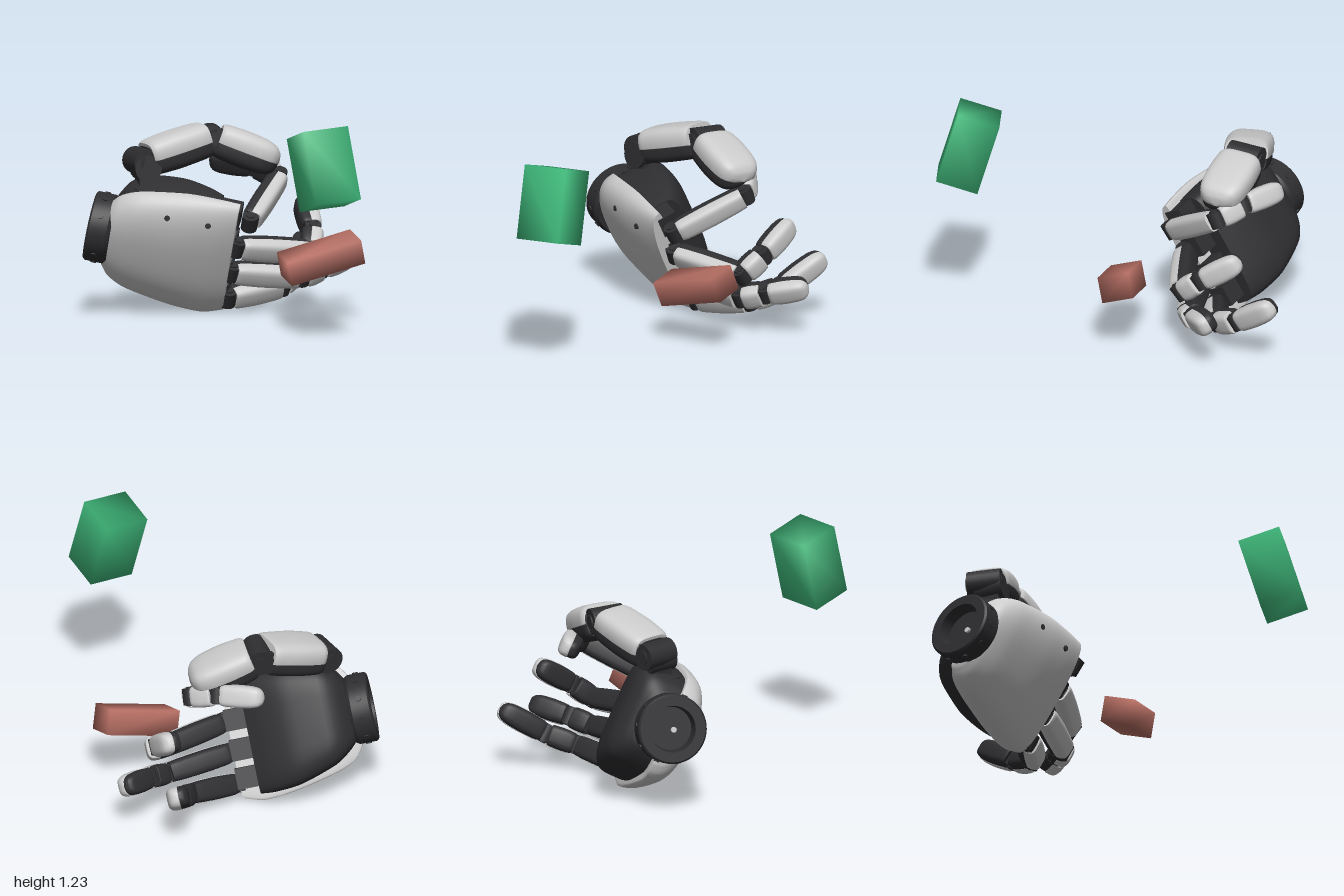
import * as THREE from 'three';
import { mergeVertices, toCreasedNormals } from 'three/addons/utils/BufferGeometryUtils.js';

const V = (x, y, z) => new THREE.Vector3(x, y, z);
const light = new THREE.MeshStandardMaterial({ color: 0xcccccc });
const dark = new THREE.MeshStandardMaterial({ color: 0x2e2e31 });
const green = new THREE.MeshStandardMaterial({ color: 0x3fb97b });
const red = new THREE.MeshStandardMaterial({ color: 0xb87065 });

function add(parent, name, geometry, material, pos = [0, 0, 0], rot = [0, 0, 0]) {
  const mesh = new THREE.Mesh(geometry, material);
  mesh.name = name;
  mesh.position.set(...pos);
  mesh.rotation.set(...rot);
  parent.add(mesh);
  return mesh;
}

// Group at a point: local x along dir, local z to the back of the hand, local y across
function frame(parent, name, origin, dir, across) {
  const x = dir.clone().normalize();
  const z = x.clone().cross(across).normalize();
  const y = z.clone().cross(x);
  const group = new THREE.Group();
  group.name = name;
  group.quaternion.setFromRotationMatrix(new THREE.Matrix4().makeBasis(x, y, z));
  group.position.copy(origin);
  parent.add(group);
  return group;
}

// Rounded-box sections [x, yCentre, zCentre, yRadius, zRadius] joined along x;
// under scales the z < 0 half, so a small value gives a shell
function loft(sections, { power = 0.55, under = 1, sides = 32 } = {}) {
  const steps = 4;
  const centres = new THREE.CatmullRomCurve3(sections.map(s => V(s[0], s[1], s[2])), false, 'catmullrom', 0.4);
  const radii = new THREE.CatmullRomCurve3(sections.map(s => V(s[3], s[4], 0)), false, 'catmullrom', 0.4);
  const n = (sections.length - 1) * steps;
  const pos = [], index = [];
  const bend = v => Math.sign(v) * Math.abs(v) ** power;
  for (let i = 0; i <= n; i++) {
    const c = centres.getPoint(i / n), r = radii.getPoint(i / n);
    for (let j = 0; j < sides; j++) {
      const a = (j / sides) * Math.PI * 2;
      const s = bend(Math.sin(a));
      pos.push(c.x, c.y + r.x * bend(Math.cos(a)), c.z + r.y * s * (s < 0 ? under : 1));
    }
  }
  const first = sections[0], last = sections[sections.length - 1];
  const c0 = pos.length / 3;
  pos.push(first[0], first[1], first[2], last[0], last[1], last[2]);
  for (let j = 0; j < sides; j++) {
    const k = (j + 1) % sides;
    for (let i = 0; i < n; i++) {
      const a = i * sides, b = a + sides;
      index.push(a + j, a + k, b + j, a + k, b + k, b + j);
    }
    index.push(c0, k, j, c0 + 1, n * sides + j, n * sides + k);
  }
  const geometry = new THREE.BufferGeometry();
  geometry.setAttribute('position', new THREE.Float32BufferAttribute(pos, 3));
  geometry.setIndex(index);
  return toCreasedNormals(geometry, 0.75);
}

// Finger link: hinge, dark core and light back cover
function link(parent, name, a, b, across, w, t, tip) {
  const dir = b.clone().sub(a), L = dir.length();
  const g = frame(parent, name, a, dir, across);
  add(g, 'hinge', new THREE.CylinderGeometry(t * 0.75, t * 0.75, w * 1.4, 24), dark);
  for (const s of [-1, 1]) {
    add(g, 'hingeCap', new THREE.CylinderGeometry(t * 0.4, t * 0.4, 0.012, 16), dark, [0, s * w * 0.72, 0]);
  }
  add(g, 'hingeNeck', new THREE.BoxGeometry(L * 0.3, w * 1.1, t * 1.2), dark, [L * 0.12, 0, 0]);
  const from = Math.min(t * 0.4, L * 0.12);
  const end = tip
    ? [[L * 0.74, 0.95], [L * 0.89, 0.8], [L * 0.97, 0.5], [L, 0.08]]
    : [[L * 0.8, 0.96], [L - t * 0.4, 0.9]];
  const rows = [[from, 0.84], [from + L * 0.07, 0.94], [L * 0.45, 1], ...end];
  add(g, 'core', loft(rows.map(([x, k]) => [x, 0, -t * 0.08, w * k * 0.95, t * k * 0.92])), dark);
  add(g, 'backCover', loft(rows.map(([x, k]) => [x + 0.004, 0, 0, w * k, t * k * 1.06]), { under: 0.12 }), light);
  // clevis reaching to the next hinge
  if (!tip) {
    for (const s of [-1, 1]) {
      add(g, 'clevis', new THREE.BoxGeometry(t * 1.2, w * 0.25, t * 1.1), dark, [L - t * 0.4, s * w * 0.6, 0]);
    }
  }
}

function chain(parent, name, points, across, w, t) {
  const g = new THREE.Group();
  g.name = name;
  parent.add(g);
  const p = points.map(q => V(...q));
  for (let i = 0; i + 1 < p.length; i++) {
    link(g, name + 'Link' + (i + 1), p[i], p[i + 1], across, w, t, i + 2 === p.length);
  }
}

// Block from its three edge vectors, softly shaded
function block(parent, name, centre, x, y, z, material) {
  const geometry = new THREE.BoxGeometry(x.length(), y.length(), z.length());
  geometry.deleteAttribute('normal');
  geometry.deleteAttribute('uv');
  const smooth = mergeVertices(geometry);
  smooth.computeVertexNormals();
  const g = frame(parent, name + 'Pose', centre, x, y);
  add(g, name, smooth, material);
}

export function createModel() {
  const model = new THREE.Group();
  model.name = 'robotHandWithBlocks';

  const across = V(0.32, 0.87, 0.37);
  const hand = frame(model, 'hand', V(-0.87, 0.485, 0.09), V(0.93, -0.2, -0.3), across);

  // Wrist ring with bolts
  const ring = [[0, 0.01], [0.12, 0.01], [0.13, -0.06], [0.185, -0.06], [0.195, -0.05], [0.195, 0.05], [0.18, 0.07], [0, 0.07]];
  const wrist = new THREE.LatheGeometry(ring.map(([r, y]) => new THREE.Vector2(r, y)), 48);
  add(hand, 'wristRing', toCreasedNormals(wrist, 0.5), dark, [0, 0, 0], [0, 0, -Math.PI / 2]);
  for (let i = 0; i < 10; i++) {
    const a = (i / 10) * Math.PI * 2, c = Math.cos(a), s = Math.sin(a);
    add(hand, 'wristBolt', new THREE.CylinderGeometry(0.016, 0.016, 0.012, 12), dark, [0, 0.195 * c, 0.195 * s], [a, 0, 0]);
  }
  add(hand, 'wristPlug', new THREE.CylinderGeometry(0.016, 0.016, 0.02, 12), light, [0.005, 0, 0.02], [0, 0, Math.PI / 2]);

  // Palm body and back-of-hand shell
  add(hand, 'palm', loft([
    [0.06, 0, -0.02, 0.17, 0.14], [0.11, 0.01, -0.04, 0.23, 0.18], [0.2, 0.005, -0.06, 0.285, 0.2],
    [0.4, -0.01, -0.06, 0.335, 0.195], [0.55, -0.015, -0.05, 0.345, 0.155], [0.64, -0.015, -0.035, 0.34, 0.12],
  ], { power: 0.45, sides: 48 }), dark);
  add(hand, 'backShell', loft([
    [0.04, -0.01, 0, 0.2, 0.13], [0.09, -0.01, 0.01, 0.265, 0.145], [0.2, -0.005, 0.02, 0.32, 0.155],
    [0.45, -0.01, 0.01, 0.37, 0.155], [0.63, -0.015, 0.005, 0.38, 0.125], [0.75, 0, 0, 0.36, 0.09],
  ], { power: 0.8, under: 0.15, sides: 48 }), light);
  for (const [x, y, z] of [[0.37, 0.25, 0.125], [0.6, 0.245, 0.108], [0.2, -0.25, 0.115]]) {
    add(hand, 'shellScrew', new THREE.CylinderGeometry(0.016, 0.016, 0.03, 14), dark, [x, y, z], [Math.PI / 2 - 0.5 * Math.sign(y), 0, 0]);
  }

  // Knuckle blocks
  for (const y of [0.26, 0.08, -0.09, -0.25]) {
    add(hand, 'knuckleBlock', new THREE.BoxGeometry(0.14, 0.12, 0.11), dark, [0.69, y, -0.03]);
  }

  // Fingers
  chain(model, 'indexFinger', [[-0.04, 0.54, -0.08], [-0.04, 0.74, -0.48], [-0.2, 0.79, -0.51], [-0.47, 0.81, -0.51]], across, 0.064, 0.06);
  chain(model, 'middleFinger', [[-0.13, 0.39, -0.1], [0.17, 0.345, -0.43], [0.13, 0.44, -0.55], [-0.01, 0.58, -0.73]], across, 0.066, 0.062);
  chain(model, 'ringFinger', [[-0.19, 0.24, -0.16], [0.12, 0.2, -0.43], [0.18, 0.235, -0.56], [0.26, 0.285, -0.79]], across, 0.066, 0.062);
  chain(model, 'littleFinger', [[-0.24, 0.085, -0.23], [-0.03, 0.13, -0.5], [-0.03, 0.195, -0.68], [-0.09, 0.35, -0.93]], across, 0.066, 0.062);

  // Thumb: mount on the palm edge, base hinge and two large links
  const thumbAcross = V(-0.6, 0, -0.8);
  const mount = frame(model, 'thumbMount', V(-0.62, 0.68, 0), V(-0.02, 0.16, 0), thumbAcross);
  add(mount, 'mountPost', new THREE.BoxGeometry(0.24, 0.11, 0.11), dark, [0.05, 0, 0]);
  add(mount, 'mountFoot', new THREE.BoxGeometry(0.08, 0.18, 0.17), dark, [0, 0, 0]);
  add(mount, 'mountDisc', new THREE.CylinderGeometry(0.075, 0.075, 0.16, 28), dark, [0.14, 0, 0]);
  chain(model, 'thumb', [[-0.67, 0.855, -0.01], [-0.38, 0.965, -0.31], [-0.04, 0.82, -0.47]], thumbAcross, 0.135, 0.1);

  // Loose blocks
  block(model, 'greenBlock', V(0.765, 0.99, 0.717), V(-0.107, 0.396, -0.062), V(0.18, 0.016, -0.205), V(0.17, 0.07, 0.155), green);
  block(model, 'redBlock', V(0.365, 0.355, -0.145), V(0.32, 0.11, -0.283), V(0, 0.137, 0.045), V(0.12, -0.045, 0.12), red);

  return model;
}
